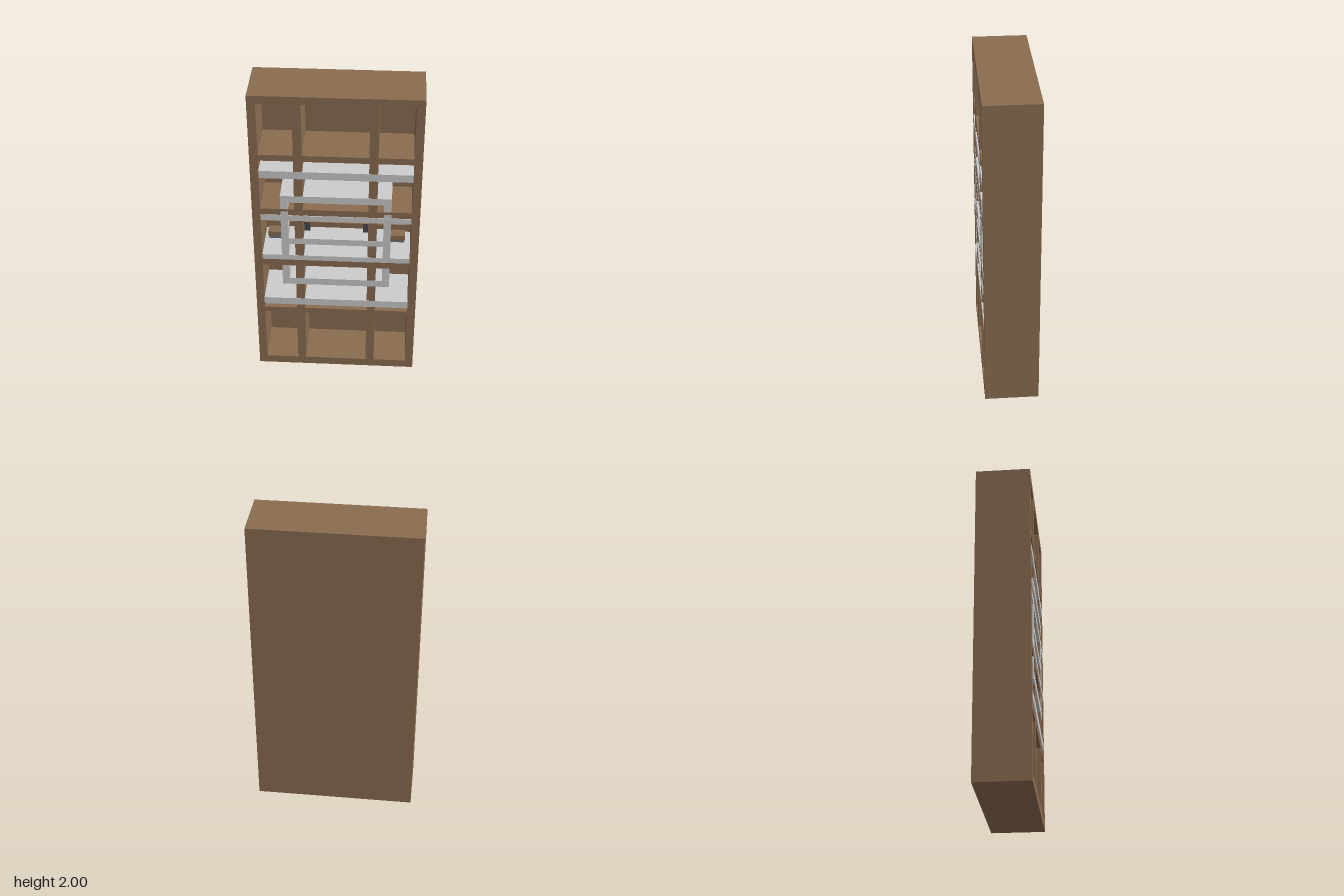
import * as THREE from 'three';

const D = 1 / 3;        // overall depth
const BACK = 0.055;     // back panel thickness
const wood = new THREE.MeshStandardMaterial({ color: 0x8a6c50 });
const grey = new THREE.MeshStandardMaterial({ color: 0xcccccc });
const slate = new THREE.MeshStandardMaterial({ color: 0x6e7378 });
const dark = new THREE.MeshStandardMaterial({ color: 0x444a4e });

// Box given by its extents on each axis
function slab(name, mat, [x0, x1], [y0, y1], [z0, z1]) {
  const mesh = new THREE.Mesh(new THREE.BoxGeometry(x1 - x0, y1 - y0, z1 - z0), mat);
  mesh.position.set((x0 + x1) / 2, (y0 + y1) / 2, (z0 + z1) / 2);
  mesh.name = name;
  return mesh;
}

function rectangle(Type, x0, x1, y0, y1) {
  const path = new Type();
  path.moveTo(x0, y0);
  path.lineTo(x1, y0);
  path.lineTo(x1, y1);
  path.lineTo(x0, y1);
  path.closePath();
  return path;
}

export function createModel() {
  const group = new THREE.Group();
  group.name = 'bookcase';

  // Carcass: three columns by five rows of open compartments
  const columns = [[-0.45, -0.247], [-0.195, 0.193], [0.245, 0.45]];
  const rows = [[0.055, 0.438], [0.475, 0.815], [0.86, 1.195], [1.237, 1.575], [1.615, 1.95]];
  const outline = rectangle(THREE.Shape, -0.5, 0.5, 0, 2);
  for (const [x0, x1] of columns) {
    for (const [y0, y1] of rows) outline.holes.push(rectangle(THREE.Path, x0, x1, y0, y1));
  }
  const carcass = new THREE.Mesh(
    new THREE.ExtrudeGeometry(outline, { depth: D - BACK, bevelEnabled: false }), wood);
  carcass.name = 'carcass';
  carcass.position.z = -D / 2 + BACK;
  group.add(carcass);
  group.add(slab('backPanel', wood, [-0.5, 0.5], [0, 2], [-D / 2, -D / 2 + BACK]));

  // Grey shelves, running the full depth and just covering the divider edges
  const inner = -D / 2 + BACK / 2;
  const front = D / 2 + 0.0015;
  const shelves = [
    [0.45, 0.503, 0.553], [0.45, 1.455, 1.505],   // wide outer shelves
    [0.45, 0.86, 0.895], [0.45, 1.155, 1.193],    // wide middle shelves
    [0.33, 0.67, 0.717], [0.33, 1.287, 1.333],    // top and bottom of the inner frame
    [0.287, 0.982, 1.024],                        // centre shelf
  ];
  for (const [half, y0, y1] of shelves) {
    group.add(slab('greyShelf', grey, [-half, half], [y0, y1], [inner, front]));
  }

  // Inner frame uprights, notched behind the wooden shelves
  for (const s of [-1, 1]) {
    const x = s < 0 ? [-0.33, -0.285] : [0.285, 0.33];
    group.add(slab('frameUpright', grey, x, [0.717, 1.287], [inner, D / 2 - 0.001]));
    group.add(slab('frameUprightFace', grey, x, [0.86, 1.22], [D / 2 - 0.01, front - 0.0005]));
  }

  // Recessed slats in the middle row, with the rail and blocks that carry them
  const recess = [inner, 0.1];
  group.add(slab('upperSlat', wood, [-0.417, 0.417], [1.065, 1.1], recess));
  group.add(slab('lowerSlat', wood, [-0.417, 0.417], [0.985, 1.018], recess));
  group.add(slab('slatRail', slate, [-0.412, 0.412], [0.955, 0.985], [inner, 0.08]));
  for (const x of [[-0.24, -0.16], [0.16, 0.24]]) {
    group.add(slab('slatBlock', dark, x, [1.036, 1.1], [inner, 0.102]));
  }
  return group;
}
